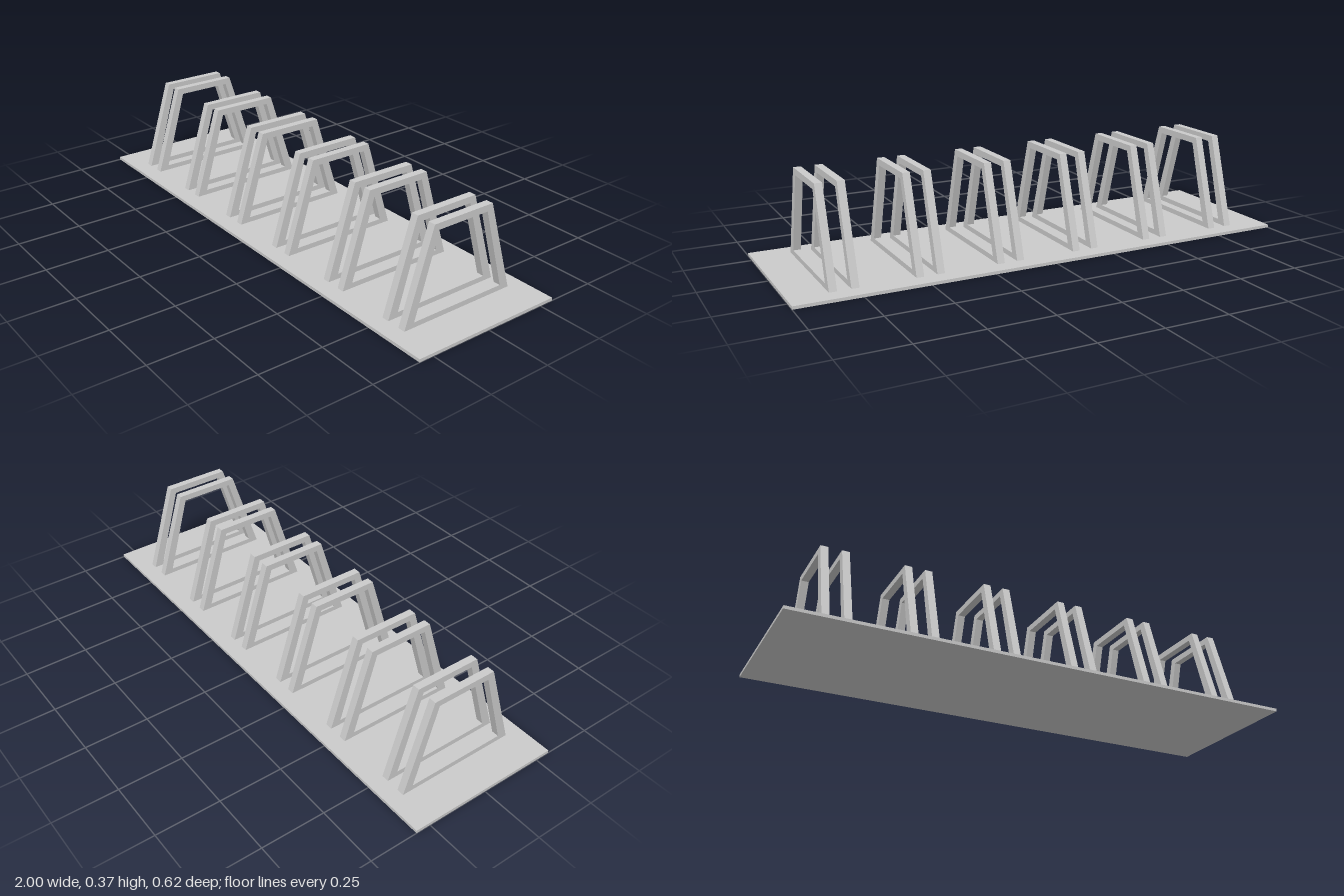
import * as THREE from 'three';

const BASE_HEIGHT = 0.012;
const BAR_WIDTH = 0.029;

// Closed symmetric trapezoid outline
function trapezoid(Type, bottomHalf, bottomY, topHalf, topY) {
  return new Type([
    new THREE.Vector2(-bottomHalf, bottomY),
    new THREE.Vector2(bottomHalf, bottomY),
    new THREE.Vector2(topHalf, topY),
    new THREE.Vector2(-topHalf, topY),
  ]);
}

export function createModel() {
  const group = new THREE.Group();
  group.name = 'bikeRack';
  const material = new THREE.MeshStandardMaterial({ color: 0xcccccc, flatShading: true });

  // Flat ground plate
  const base = new THREE.Mesh(new THREE.BoxGeometry(2, BASE_HEIGHT, 0.618), material);
  base.name = 'basePlate';
  base.position.y = BASE_HEIGHT / 2;
  group.add(base);

  // Trapezoid frame with an open middle, turned to lie in the yz plane
  const outline = trapezoid(THREE.Shape, 0.243, BASE_HEIGHT, 0.131, 0.37);
  outline.holes.push(trapezoid(THREE.Path, 0.201, 0.032, 0.109, 0.345));
  const frameGeometry = new THREE.ExtrudeGeometry(outline, { depth: BAR_WIDTH, bevelEnabled: false });
  frameGeometry.translate(0, 0, -BAR_WIDTH / 2);
  frameGeometry.rotateY(Math.PI / 2);

  // Six stands, each a pair of frames
  for (let i = 0; i < 6; i++) {
    const stand = new THREE.Group();
    stand.name = `stand${i + 1}`;
    stand.position.x = (i - 2.5) * 0.32;
    for (const side of [-1, 1]) {
      const frame = new THREE.Mesh(frameGeometry, material);
      frame.name = side > 0 ? 'leftFrame' : 'rightFrame';
      frame.position.x = side * 0.04;
      stand.add(frame);
    }
    group.add(stand);
  }
  return group;
}
